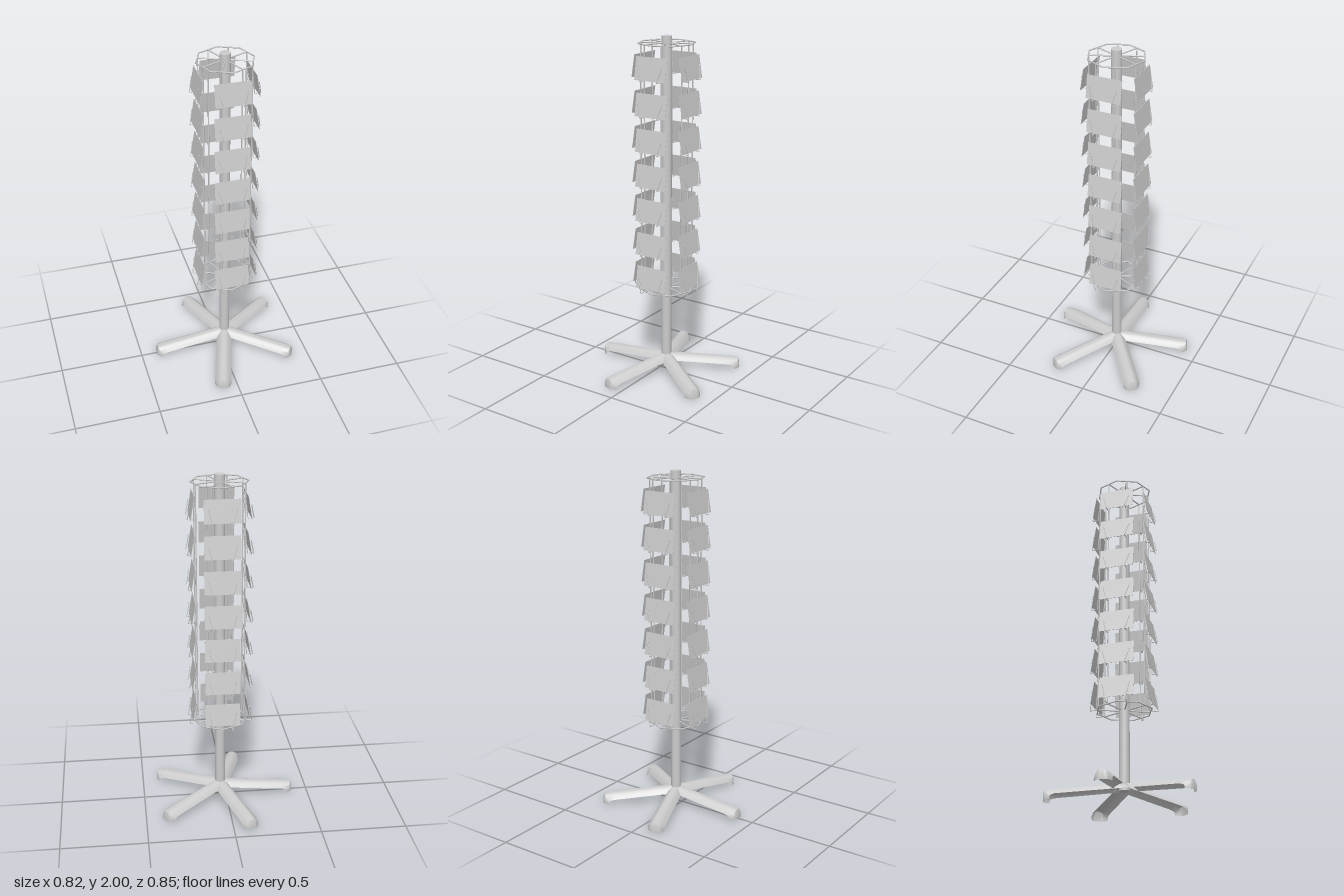
import * as THREE from 'three';
import { toCreasedNormals } from 'three/addons/utils/BufferGeometryUtils.js';

const V = (x, y, z) => new THREE.Vector3(x, y, z);
const material = new THREE.MeshStandardMaterial({ color: 0xcccccc });
const shellMaterial = new THREE.MeshStandardMaterial({ color: 0xcccccc, side: THREE.DoubleSide });

function addMesh(parent, name, geometry, mat = material) {
  const mesh = new THREE.Mesh(geometry, mat);
  mesh.name = name;
  parent.add(mesh);
  return mesh;
}

// Straight round bar between two points
function addRod(parent, name, a, b, radius) {
  const dir = b.clone().sub(a);
  const rod = addMesh(parent, name, new THREE.CylinderGeometry(radius, radius, dir.length(), 6));
  rod.position.copy(a).add(b).multiplyScalar(0.5);
  rod.quaternion.setFromUnitVectors(V(0, 1, 0), dir.normalize());
  return rod;
}

// Arched leg, open below, running along +x and turned down at its rounded tip
function legGeometry() {
  const across = 10;
  const positions = [], index = [];
  for (let i = 0; i <= across; i++) {
    const t = (i / across) * 2 - 1;
    const sag = 0.036 * t * t;
    const end = 0.434 - 0.034 * t ** 4;
    const w = 0.05 * t;
    positions.push(
      0, 0.104 - sag, w * 0.9,
      0.38, 0.066 - sag, w,
      end, 0.058 - sag, w * 0.97,
      end + 0.007, 0.035 - sag * 0.6, w,
      end + 0.007, 0, w * 0.97
    );
  }
  const row = 5;
  for (let i = 0; i < across; i++) {
    for (let j = 0; j < row - 1; j++) {
      const a = i * row + j, b = a + row;
      index.push(a, b, a + 1, b, b + 1, a + 1);
    }
  }
  const g = new THREE.BufferGeometry();
  g.setAttribute('position', new THREE.Float32BufferAttribute(positions, 3));
  g.setIndex(index);
  return toCreasedNormals(g, 0.6);
}

export function createModel() {
  const model = new THREE.Group();
  model.name = 'rotatingCardStand';
  const stand = new THREE.Group();
  stand.name = 'stand';
  stand.position.set(0.036, 0, -0.008);
  model.add(stand);

  // Central pole
  const pole = addMesh(stand, 'pole', new THREE.CylinderGeometry(0.03, 0.03, 1.94, 20));
  pole.position.y = 1.03;

  // Five legs
  const legShape = legGeometry();
  for (let i = 0; i < 5; i++) {
    const leg = addMesh(stand, 'leg', legShape, shellMaterial);
    leg.rotation.y = -THREE.MathUtils.degToRad(34.8 + 72 * i);
  }

  // Wire cage: two octagonal rings with spokes, joined by eight uprights
  const bottomY = 0.525, topY = 1.96, spokeLength = 0.148;
  const cage = new THREE.Group();
  cage.name = 'wireCage';
  stand.add(cage);
  for (const y of [bottomY, topY]) {
    const ring = addMesh(cage, 'ring', new THREE.TorusGeometry(0.161, 0.004, 6, 8));
    ring.rotation.x = Math.PI / 2;
    ring.position.y = y;
  }
  for (let i = 0; i < 8; i++) {
    const angle = (i + 0.5) * Math.PI / 4;
    const x = Math.cos(angle) * spokeLength, z = Math.sin(angle) * spokeLength;
    for (const y of [bottomY, topY]) addRod(cage, 'spoke', V(0, y, 0), V(x, y, z), 0.004);
    addRod(cage, 'upright', V(x, bottomY, z), V(x, topY, z), 0.004);
  }

  // Four columns of seven leaning cards, each held by a pair of wire hooks
  const cardShape = new THREE.BoxGeometry(0.203, 0.131, 0.002);
  for (let side = 0; side < 4; side++) {
    const column = new THREE.Group();
    column.name = 'cardColumn';
    column.rotation.y = side * Math.PI / 2;
    stand.add(column);
    for (let i = 0; i < 7; i++) {
      const y = 0.552 + i * 0.2025;
      const card = addMesh(column, 'card', cardShape);
      card.position.set(0, y + 0.065, 0.158);
      card.rotation.x = -0.16;

      // The lowest hooks reach down to the bottom ring
      const hookY = i === 0 ? bottomY : y - 0.003;
      for (const s of [-1, 1]) {
        const path = [
          V(s * 0.057, y + 0.125, 0.138),
          V(s * 0.056, hookY, 0.15),
          V(s * 0.056, hookY, 0.184),
          V(s * 0.079, y + 0.078, 0.167)
        ];
        for (let k = 0; k < 3; k++) addRod(column, 'hook', path[k], path[k + 1], 0.0025);
      }
    }
  }
  return model;
}
